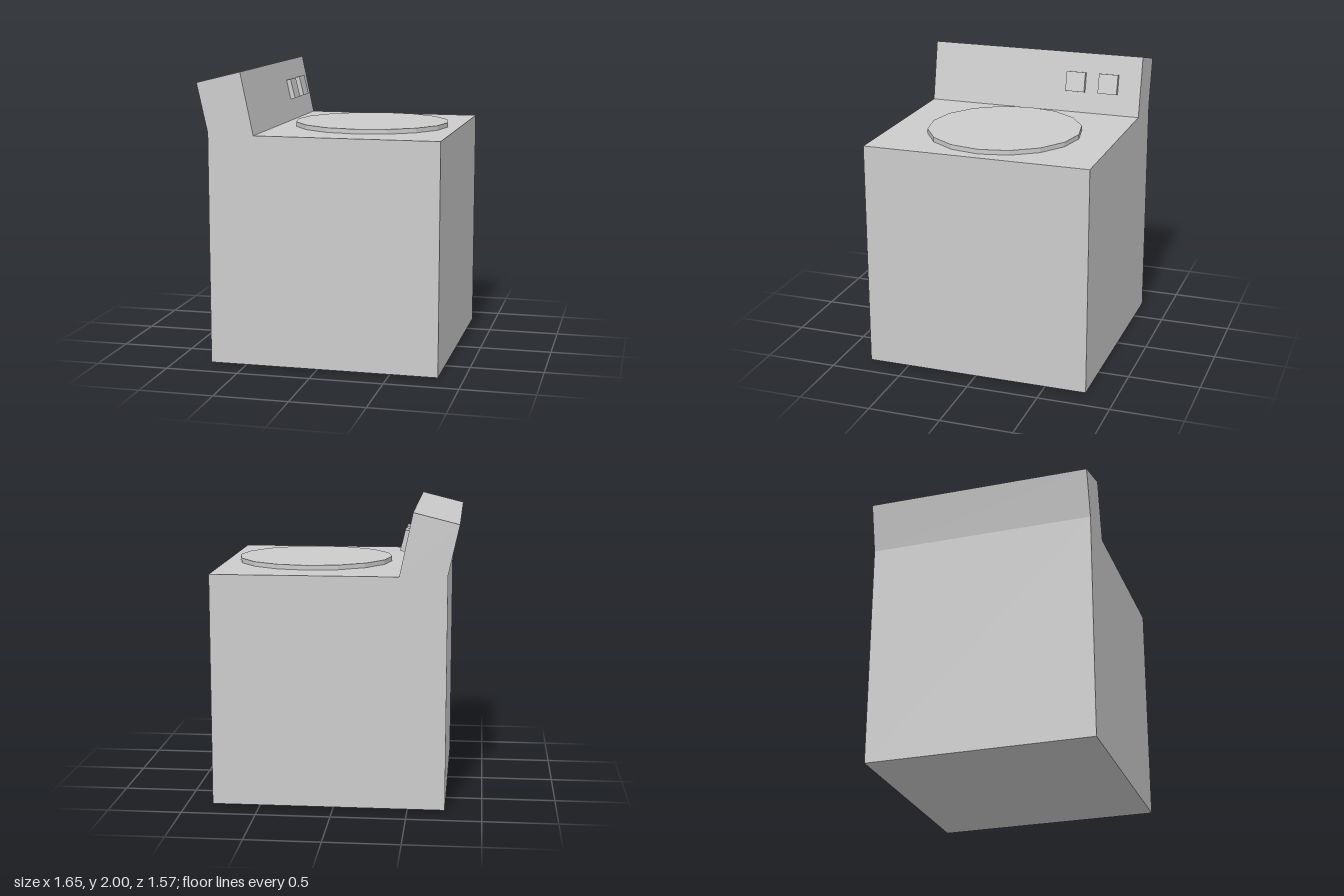
import * as THREE from 'three';

const grey = new THREE.MeshStandardMaterial({ color: 0xcccccc });
grey.name = 'light grey';

// Extrudes an x-y profile along z, centred on the given z
function slab(name, points, depth, z) {
  const shape = new THREE.Shape(points.map(([x, y]) => new THREE.Vector2(x, y)));
  const geometry = new THREE.ExtrudeGeometry(shape, { depth, bevelEnabled: false });
  geometry.translate(0, 0, z - depth / 2);
  const mesh = new THREE.Mesh(geometry, grey);
  mesh.name = name;
  return mesh;
}

export function createModel() {
  const model = new THREE.Group();
  model.name = 'washingMachine';

  // Cabinet with the leaning control console in one profile
  model.add(slab('cabinet', [
    [-0.752, 0], [0.826, 0], [0.826, 1.578], [-0.434, 1.578],
    [-0.522, 2], [-0.826, 1.924], [-0.752, 1.59],
  ], 1.574, 0));

  // Sixteen-sided lid on the top
  const lidGeometry = new THREE.CylinderGeometry(0.542, 0.542, 0.04, 16).toNonIndexed();
  lidGeometry.rotateY(Math.PI / 2);
  lidGeometry.scale(1, 1, 0.982);
  lidGeometry.computeVertexNormals();
  const lid = new THREE.Mesh(lidGeometry, grey);
  lid.name = 'lid';
  lid.position.set(0.203, 1.59, 0);
  model.add(lid);

  // Two square buttons lying on the slanted console
  for (const z of [-0.31, -0.552]) {
    model.add(slab('button', [
      [-0.462, 1.722], [-0.43, 1.731], [-0.464, 1.869], [-0.497, 1.861],
    ], 0.14, z));
  }

  return model;
}
